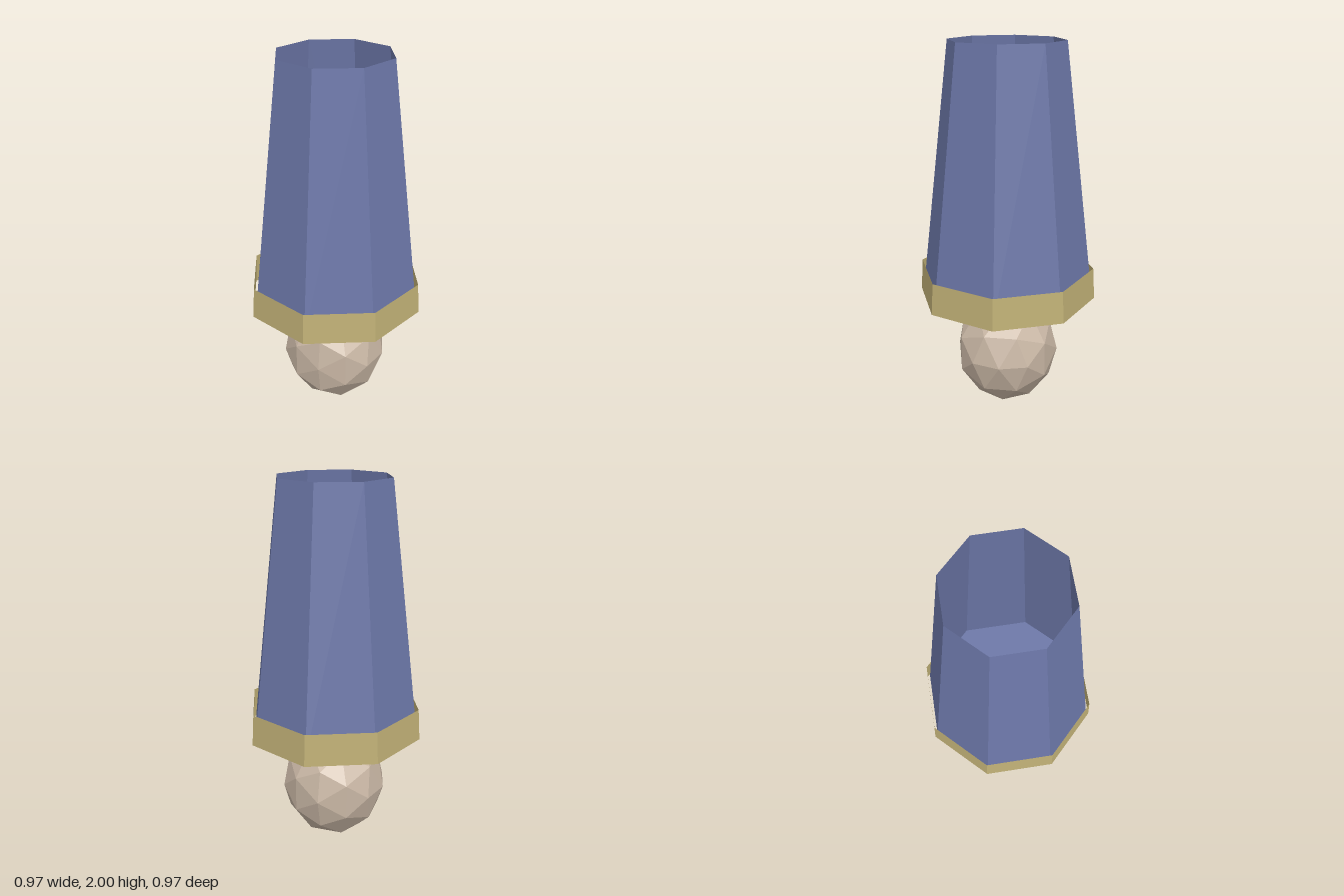
import * as THREE from 'three';

const material = (name, color) =>
  new THREE.MeshStandardMaterial({ name, color, flatShading: true, side: THREE.DoubleSide });

export function createModel() {
  const blue = material('blue cloth', 0x6c77a8);
  const gold = material('gold trim', 0xc0b076);
  const skin = material('skin', 0xc8b6a4);
  const group = new THREE.Group();

  const add = (name, geometry, mat, y) => {
    const mesh = new THREE.Mesh(geometry, mat);
    mesh.name = name;
    mesh.position.y = y;
    group.add(mesh);
    return mesh;
  };

  // Open eight-sided tapering tube between two heights
  const tube = (name, rTop, rBottom, yTop, yBottom, mat) =>
    add(name, new THREE.CylinderGeometry(rTop, rBottom, yTop - yBottom, 8, 1, true), mat, (yTop + yBottom) / 2);

  // Sleeve, open at the top and closed at the cuff end
  tube('sleeve', 0.303, 0.466, 2, 0.665, blue);
  const floor = new THREE.CircleGeometry(0.466, 8).rotateX(-Math.PI / 2);
  add('sleeveEnd', floor, blue, 0.665);

  // Cuff band standing slightly clear of the sleeve
  tube('cuff', 0.472, 0.483, 0.805, 0.635, gold);

  // Faceted fist, slightly flattened at the front
  const fist = new THREE.IcosahedronGeometry(1, 1).scale(0.288, 0.313, 0.285);
  const p = fist.attributes.position;
  for (let i = 0; i < p.count; i++) p.setZ(i, Math.min(p.getZ(i), 0.27));
  fist.computeVertexNormals();
  add('fist', fist, skin, 0.313);

  return group;
}
